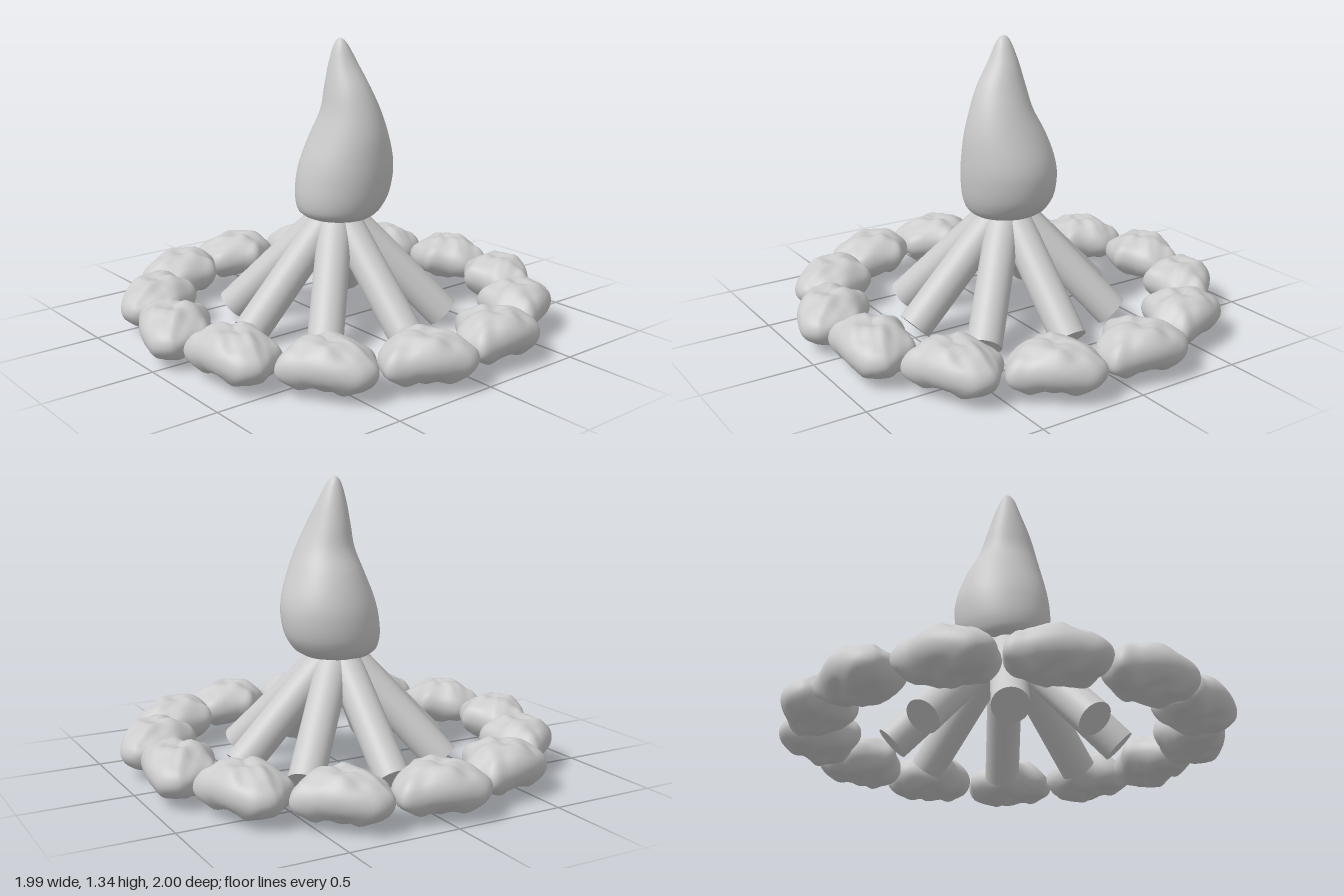
import * as THREE from 'three';

const material = new THREE.MeshStandardMaterial({ color: 0xcccccc });

// Smooth closed skin through rings of points, ordered bottom to top;
// the first and last rings shrink to a point.
function loft(rings) {
  const n = rings[0].length;
  const index = [];
  for (let r = 0; r < rings.length - 1; r++) {
    for (let i = 0; i < n; i++) {
      const a = r * n + i, b = r * n + (i + 1) % n;
      if (r > 0) index.push(a, a + n, b);
      if (r < rings.length - 2) index.push(b, a + n, b + n);
      else if (r === 0) index.push(a, a + n, b);
    }
  }
  const geometry = new THREE.BufferGeometry().setFromPoints(rings.flat());
  geometry.setIndex(index);
  geometry.computeVertexNormals();
  return geometry;
}

// Flame levels: [y, left x, right x, back z, front z]
function flameGeometry() {
  const levels = [
    [0.508, 0.01, 0.01, 0.01, 0.01],
    [0.51, -0.06, 0.08, -0.07, 0.08],
    [0.52, -0.14, 0.15, -0.14, 0.155],
    [0.55, -0.185, 0.2, -0.175, 0.19],
    [0.615, -0.2, 0.245, -0.2, 0.215],
    [0.72, -0.19, 0.265, -0.205, 0.23],
    [0.8, -0.17, 0.255, -0.19, 0.232],
    [0.91, -0.13, 0.215, -0.15, 0.225],
    [1.016, -0.095, 0.17, -0.095, 0.2],
    [1.12, -0.075, 0.125, -0.07, 0.16],
    [1.23, -0.05, 0.08, -0.042, 0.095],
    [1.31, -0.025, 0.04, -0.015, 0.055],
    [1.335, -0.009, 0.02, 0, 0.036],
    [1.343, 0.005, 0.005, 0.018, 0.018],
  ];
  const curve = (f) => new THREE.CatmullRomCurve3(levels.map(f));
  const centre = curve(([y, l, r, b, f]) => new THREE.Vector3((l + r) / 2, y, (b + f) / 2));
  const radius = curve(([y, l, r, b, f]) => new THREE.Vector3((r - l) / 2, y, (f - b) / 2));
  const rings = [];
  const steps = (levels.length - 1) * 4;
  for (let s = 0; s <= steps; s++) {
    const c = centre.getPoint(s / steps), q = radius.getPoint(s / steps);
    rings.push(Array.from({ length: 48 }, (_, i) => {
      const a = (i / 48) * Math.PI * 2;
      return new THREE.Vector3(c.x + q.x * Math.cos(a), c.y, c.z + q.z * Math.sin(a));
    }));
  }
  return loft(rings);
}

// One lumpy stone, its plan outline pointed towards the fire
function stoneGeometry() {
  const outline = new THREE.CatmullRomCurve3([
    [-0.2, -0.945], [-0.14, -0.995], [-0.05, -1], [0.03, -0.985], [0.13, -0.945],
    [0.205, -0.91], [0.2, -0.84], [0.175, -0.765], [0.08, -0.71], [0.01, -0.662],
    [-0.06, -0.695], [-0.185, -0.755], [-0.2, -0.84], [-0.21, -0.91],
  ].map(([x, z]) => new THREE.Vector3(x, 0, z)), true);
  const around = 56, layers = 28;
  const rim = outline.getPoints(around).slice(0, around);
  const rings = [];
  for (let j = 0; j <= layers; j++) {
    const phi = (j / layers) * Math.PI;
    const spread = Math.pow(Math.max(0, Math.sin(phi)), 0.9);
    const rise = -Math.cos(phi);
    rings.push(rim.map((p) => {
      const x = p.x * spread;
      const z = -0.84 + (p.z + 0.84) * spread;
      // Gentle bumps, fading out at the rim
      const bump = 0.011 * Math.sin(31 * x + 9 * z) * Math.cos(37 * z - 8 * x)
        + 0.005 * Math.sin(63 * x - 21 * z + 1) * Math.sin(58 * z);
      const y = 0.13 + 0.106 * rise + bump * Math.abs(rise) + 0.012 * Math.sin(17 * x + 1) * spread;
      return new THREE.Vector3(x, y, z);
    }));
  }
  return loft(rings);
}

export function createModel() {
  const model = new THREE.Group();
  model.name = 'campfire';

  const add = (geometry, name, parent = model) => {
    const mesh = new THREE.Mesh(geometry, material);
    mesh.name = name;
    parent.add(mesh);
    return mesh;
  };

  add(flameGeometry(), 'flame');

  // Eight logs leaning at 45 degrees to meet under the flame
  const logs = new THREE.Group();
  logs.name = 'logs';
  model.add(logs);
  const logRadius = 0.08;
  const foot = logRadius * Math.SQRT1_2;
  const reach = 0.5;
  const logGeometry = new THREE.CylinderGeometry(logRadius, logRadius, reach * Math.SQRT2, 32);
  logGeometry.rotateZ(Math.PI / 4);
  logGeometry.translate(reach / 2, foot + reach / 2, 0);
  for (let i = 0; i < 8; i++) add(logGeometry, 'log', logs).rotation.y = (i * Math.PI) / 4;

  // Ring of thirteen stones
  const stones = new THREE.Group();
  stones.name = 'stoneRing';
  model.add(stones);
  const stone = stoneGeometry();
  for (let i = 0; i < 13; i++) add(stone, 'stone', stones).rotation.y = (i * Math.PI * 2) / 13;

  return model;
}
